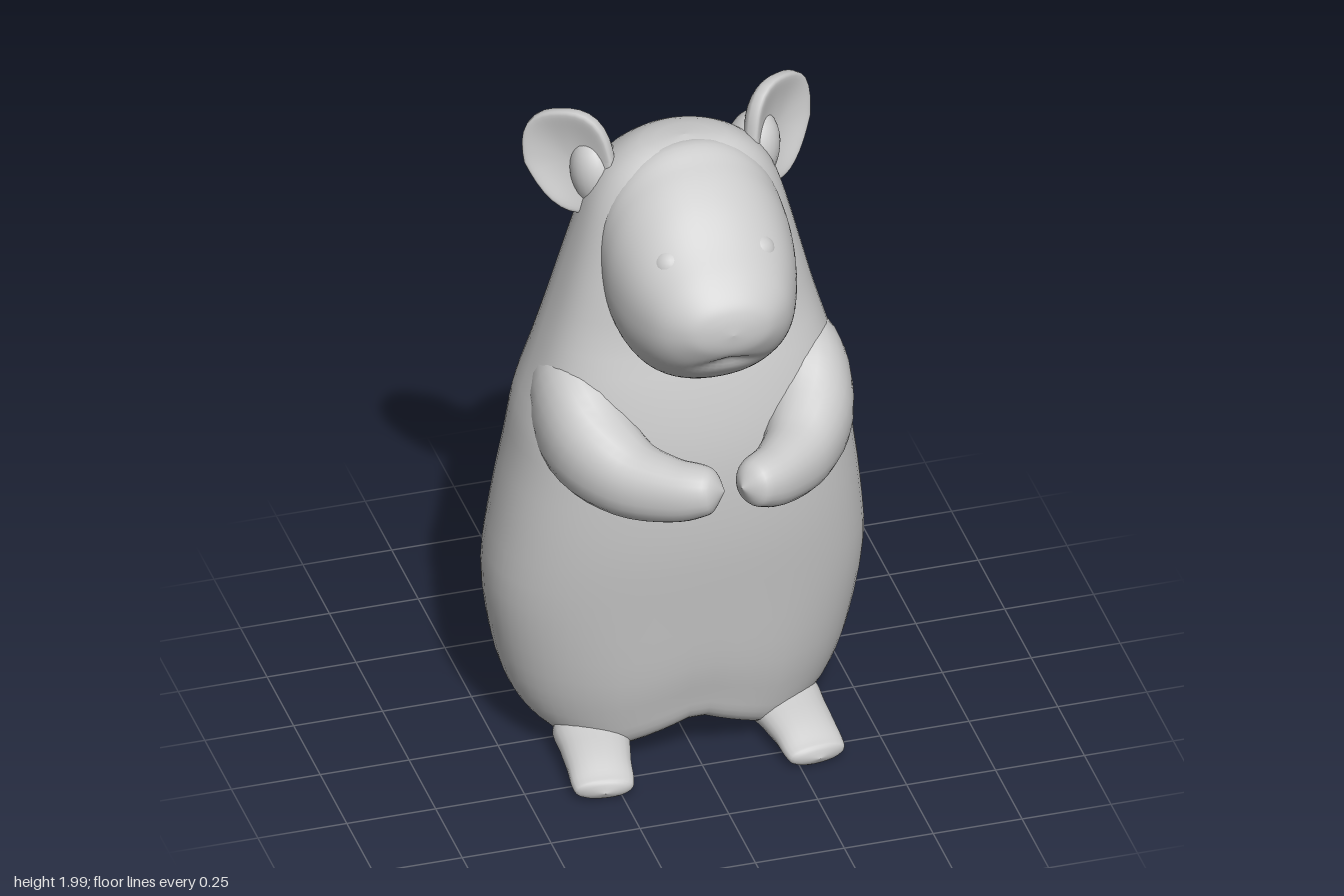
import * as THREE from 'three';

const material = new THREE.MeshStandardMaterial({ color: 0xcccccc, roughness: 0.8 });

// Catmull-Rom resampling of a short table of cross-sections
function smoothRows(rows, steps) {
  const out = [];
  const at = (i) => rows[Math.min(rows.length - 1, Math.max(0, i))];
  for (let i = 0; i < rows.length - 1; i++) {
    for (let s = 0; s < steps; s++) {
      const t = s / steps;
      out.push(rows[i].map((_, k) => {
        const [a, b, c, d] = [at(i - 1)[k], at(i)[k], at(i + 1)[k], at(i + 2)[k]];
        return b + 0.5 * t * (c - a + t * (2 * a - 5 * b + 4 * c - d + t * (3 * (b - c) + d - a)));
      }));
    }
  }
  out.push(rows[rows.length - 1]);
  return out;
}

// Closed skin over rings of points, always wound outwards
function skin(name, rings) {
  const n = rings[0].length;
  const points = rings.flat();
  const index = [];
  for (let i = 0; i < rings.length - 1; i++) {
    for (let j = 0; j < n; j++) {
      const a = i * n + j, b = i * n + (j + 1) % n;
      index.push(a, b, a + n, b, b + n, a + n);
    }
  }
  let volume = 0;
  const cross = new THREE.Vector3();
  for (let i = 0; i < index.length; i += 3) {
    volume += points[index[i]].dot(cross.crossVectors(points[index[i + 1]], points[index[i + 2]]));
  }
  if (volume < 0) index.reverse();
  const geometry = new THREE.BufferGeometry().setFromPoints(points);
  geometry.setIndex(index);
  geometry.computeVertexNormals();
  return named(name, geometry);
}

function named(name, geometry) {
  const mesh = new THREE.Mesh(geometry, material);
  mesh.name = name;
  return mesh;
}

// Circle whose positive half is squared by power (1 is round, less is squarer)
function roundRing(n, makePoint, power = 0.92, backPower = power) {
  return Array.from({ length: n }, (_, j) => {
    const a = ((j + 0.5) / n) * Math.PI * 2;
    const soft = (v) => Math.sign(v) * Math.abs(v) ** (Math.sin(a) > 0 ? power : backPower);
    return makePoint(soft(Math.cos(a)), soft(Math.sin(a)));
  });
}

// Tapered limb; rows are [x, y, z, half width, half height]
function limb(name, rows, side) {
  const path = smoothRows(rows, 4);
  const centre = (i) => new THREE.Vector3(path[i][0] * side, path[i][1], path[i][2]);
  return skin(name, path.map((row, i) => {
    const dir = centre(Math.min(i + 1, path.length - 1)).sub(centre(Math.max(i - 1, 0))).normalize();
    const across = new THREE.Vector3(0, 1, 0).cross(dir).normalize();
    const up = dir.clone().cross(across);
    return roundRing(24, (c, s) => centre(i).addScaledVector(across, c * row[3]).addScaledVector(up, s * row[4]));
  }));
}

// Upright body; rows are [height, half width, front z, back z]
function makeBody() {
  const rows = [
    [0.03, 0, -0.08, -0.08], [0.03, 0.2, 0.08, -0.25], [0.04, 0.33, 0.18, -0.4],
    [0.08, 0.4, 0.22, -0.47], [0.16, 0.455, 0.24, -0.5], [0.3, 0.495, 0.27, -0.51],
    [0.53, 0.525, 0.3, -0.485], [0.75, 0.505, 0.33, -0.46], [0.95, 0.475, 0.34, -0.425],
    [1.1, 0.455, 0.33, -0.385], [1.25, 0.41, 0.3, -0.335], [1.4, 0.365, 0.26, -0.285],
    [1.55, 0.325, 0.25, -0.245], [1.7, 0.285, 0.24, -0.2], [1.8, 0.25, 0.22, -0.165],
    [1.87, 0.2, 0.19, -0.1], [1.92, 0.12, 0.14, -0.02], [1.935, 0, 0.08, 0.08],
  ];
  return skin('body', smoothRows(rows, 3).map(([y, w, front, back]) => {
    const mid = THREE.MathUtils.lerp(back, front, 0.575);
    // The chest and cheeks are fuller at the front corners
    const power = 0.9 - 0.18 * Math.exp(-(((y - 1.42) / 0.3) ** 2));
    return roundRing(64, (c, s) => {
      const x = c * w, z = mid + s * (s > 0 ? front - mid : mid - back);
      // Raise the underside towards the tail and notch it between the legs
      const rise = 0.65 * Math.max(0, 0.14 - z) ** 2;
      const notch = 0.1 * Math.max(0, 1 - Math.abs(x) / 0.22) * THREE.MathUtils.smoothstep(z, -0.45, 0.1);
      return new THREE.Vector3(x, y + (rise + notch) * Math.max(0, 1 - y / 0.55), z);
    }, power, 1.03);
  }));
}

// Head and muzzle; rows are [z, half width, top, bottom]
function makeHead() {
  const rows = [
    [-0.08, 0, 1.65, 1.65], [-0.04, 0.16, 1.82, 1.45], [0.1, 0.245, 1.93, 1.34],
    [0.2, 0.262, 1.905, 1.3], [0.3, 0.25, 1.85, 1.3], [0.4, 0.218, 1.77, 1.355],
    [0.47, 0.18, 1.715, 1.42], [0.52, 0.125, 1.665, 1.49], [0.54, 0.07, 1.625, 1.53],
    [0.548, 0, 1.578, 1.578],
  ];
  return skin('head', smoothRows(rows, 6).map(([z, w, top, bottom]) => roundRing(64, (c, s) => {
    const x = c * w, y = (top + bottom) / 2 + s * (top - bottom) / 2;
    // Shallow mouth crease curving down to the sides
    const crease = z > 0.3 ? Math.exp(-(((y - 1.465 + 0.25 * Math.abs(x)) / 0.022) ** 2) - (x / 0.08) ** 2) : 0;
    return new THREE.Vector3(x, y + 0.008 * crease, z - 0.012 * crease);
  })));
}

// Cupped, squarish ear, hollow towards the front and narrower at its base
function makeEar(side) {
  const geometry = new THREE.SphereGeometry(1, 32, 24);
  geometry.rotateX(Math.PI / 2);
  const p = geometry.attributes.position;
  for (let i = 0; i < p.count; i++) {
    const x = p.getX(i), y = p.getY(i), z = p.getZ(i);
    const r = Math.hypot(x, y) || 1;
    const square = (Math.abs(x / r) ** 2.6 + Math.abs(y / r) ** 2.6) ** (-1 / 2.6);
    const cup = Math.max(0, 1 - x * x - y * y);
    const low = Math.max(0, -y);
    const rim = Math.sign(z) * Math.sqrt(Math.abs(z)) * 0.035;
    p.setXYZ(i, x * 0.13 * square * (1 - 0.25 * low) - 0.02 * low, y * 0.152 * square, rim - cup * 0.045);
  }
  geometry.computeVertexNormals();
  const ear = named(side > 0 ? 'leftEar' : 'rightEar', geometry);
  ear.rotation.set(-0.12, 0.67, -0.15);
  ear.position.set(0.295, 1.845, -0.015);
  // Soft root filling the corner between ear and head
  const root = named(ear.name + 'Root', new THREE.SphereGeometry(1, 24, 16));
  root.scale.set(0.075, 0.12, 0.085);
  root.rotation.z = -0.25;
  root.position.set(0.215, 1.79, -0.01);
  const holder = new THREE.Group();
  holder.name = ear.name + 'Holder';
  holder.scale.x = side;
  holder.add(ear, root);
  return holder;
}

export function createModel() {
  const model = new THREE.Group();
  model.name = 'sittingRodent';
  model.add(makeBody(), makeHead());

  const armRows = [
    [0.28, 1.2, -0.08, 0, 0], [0.3, 1.185, -0.01, 0.09, 0.12], [0.32, 1.14, 0.12, 0.12, 0.175],
    [0.3, 1.085, 0.25, 0.12, 0.145], [0.235, 1.05, 0.365, 0.1, 0.112], [0.15, 1.055, 0.46, 0.08, 0.09],
    [0.085, 1.07, 0.508, 0.07, 0.073], [0.05, 1.076, 0.528, 0.052, 0.054], [0.024, 1.078, 0.542, 0, 0],
  ];
  const footRows = [
    [0.26, 0.09, 0.02, 0, 0], [0.265, 0.085, 0.08, 0.1, 0.06], [0.28, 0.07, 0.18, 0.095, 0.058],
    [0.29, 0.058, 0.25, 0.088, 0.05], [0.297, 0.042, 0.31, 0.085, 0.036], [0.3, 0.036, 0.338, 0.07, 0.028],
    [0.302, 0.034, 0.352, 0, 0],
  ];
  for (const side of [1, -1]) {
    const prefix = side > 0 ? 'left' : 'right';
    model.add(limb(prefix + 'Arm', armRows, side), limb(prefix + 'Foot', footRows, side), makeEar(side));

    // Soft closed eye bump
    const eye = named(prefix + 'Eye', new THREE.SphereGeometry(0.05, 24, 16));
    eye.position.set(0.122 * side, 1.712, 0.357);
    model.add(eye);
  }

  // Short pointed tail
  const tail = named('tail', new THREE.ConeGeometry(0.07, 0.14, 20));
  tail.rotation.x = -Math.PI / 2;
  tail.position.set(0, 0.355, -0.503);
  model.add(tail);
  return model;
}
